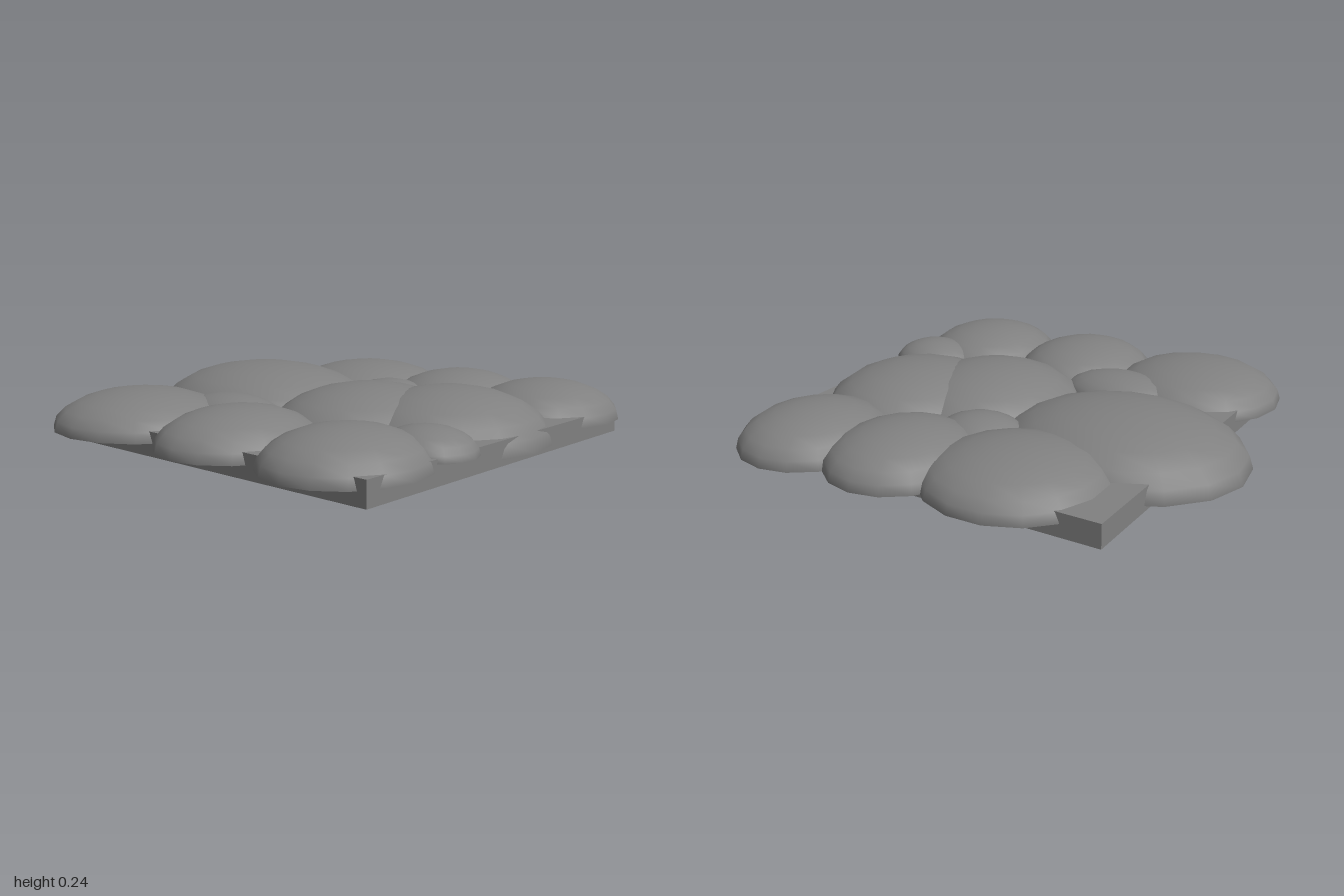
import * as THREE from 'three';

const stone = new THREE.MeshStandardMaterial({ color: 0x808080, side: THREE.DoubleSide });
stone.name = 'stone grey';

// Half ellipsoid, open underneath; turn (degrees) shifts its facets
function dome(name, [x, z, rx, rz, turn = 0], base, top) {
  const geo = new THREE.SphereGeometry(1, 16, 6, 0, Math.PI * 2, 0, Math.PI / 2);
  geo.rotateY(THREE.MathUtils.degToRad(turn));
  geo.scale(rx, top - base, rz);
  const mesh = new THREE.Mesh(geo, stone);
  mesh.name = name;
  mesh.position.set(x, base, z);
  return mesh;
}

// Shallow tray: a box without its bottom face
function slab() {
  const geo = new THREE.BoxGeometry(1.63, 0.098, 1.66);
  const index = Array.from(geo.index.array);
  index.splice(18, 6);
  geo.setIndex(index);
  geo.clearGroups();
  const mesh = new THREE.Mesh(geo, stone);
  mesh.name = 'baseSlab';
  mesh.position.set(-0.025, 0.049, 0.09);
  return mesh;
}

export function createModel() {
  const model = new THREE.Group();
  model.name = 'cobblePatch';
  model.add(slab());

  // Stones by size: centre x, centre z, half width, half depth, turn
  const sets = [
    { name: 'largeStone', base: 0.025, top: 0.238, stones: [
      [0.09, -0.458, 0.45, 0.53, -4],
      [-0.05, 0.26, 0.43, 0.41],
      [0.105, 0.55, 0.43, 0.41],
    ] },
    { name: 'edgeStone', base: 0.053, top: 0.21, stones: [
      [-0.637, -0.455, 0.363, 0.38],
      [0.58, -0.265, 0.37, 0.38, -10],
      [-0.64, 0.12, 0.34, 0.31],
      [0.64, 0.215, 0.34, 0.31],
      [-0.628, 0.645, 0.335, 0.31],
      [0.66, 0.65, 0.337, 0.31],
    ] },
    { name: 'smallStone', base: 0.08, top: 0.182, stones: [
      [-0.38, -0.2, 0.18, 0.26],
      [0.35, 0.05, 0.18, 0.2],
      [-0.345, 0.785, 0.178, 0.195, 8],
    ] },
  ];
  for (const { name, base, top, stones } of sets) {
    stones.forEach((s, i) => model.add(dome(name + (i + 1), s, base, top)));
  }
  return model;
}
